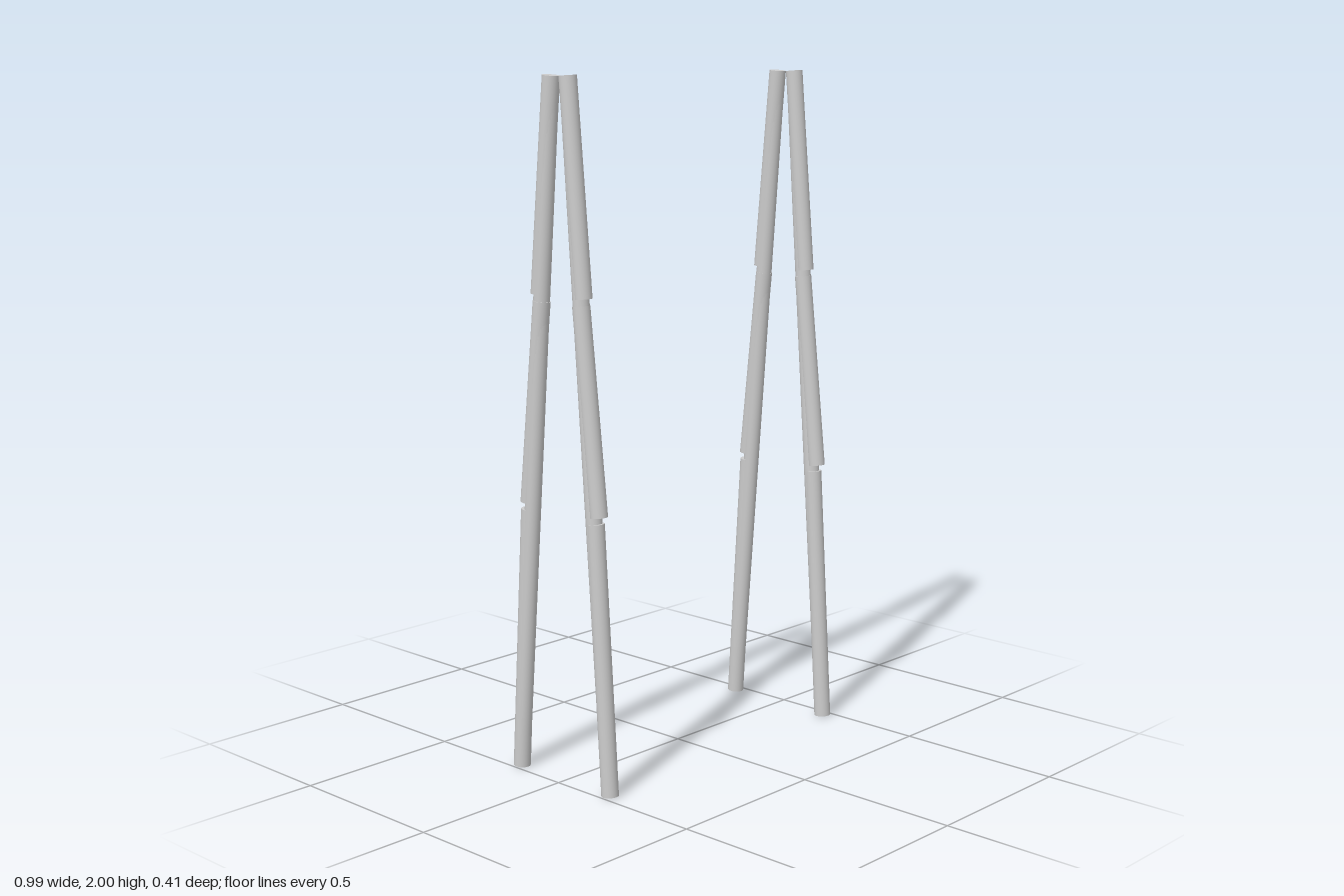
import * as THREE from 'three';

const material = new THREE.MeshStandardMaterial({ color: 0xcccccc });

// Solid rod between two [y, z] points
function rod(name, radius, [y0, z0], [y1, z1]) {
  const a = new THREE.Vector3(0, y0, z0);
  const b = new THREE.Vector3(0, y1, z1);
  const dir = b.clone().sub(a);
  const mesh = new THREE.Mesh(new THREE.CylinderGeometry(radius, radius, dir.length(), 24), material);
  mesh.name = name;
  mesh.position.copy(a).add(b).multiplyScalar(0.5);
  mesh.quaternion.setFromUnitVectors(new THREE.Vector3(0, 1, 0), dir.normalize());
  return mesh;
}

// Straight core with three slightly tilted outer sections, leaving two narrow gaps
function pole(name, { core, lower, middle, upper }) {
  const group = new THREE.Group();
  group.name = name;
  group.add(
    rod('core', 0.0235, [0.003, core[0]], [1.997, core[1]]),
    rod('lowerSection', 0.025, [0.002, lower[0]], [0.78, lower[1]]),
    rod('middleSection', 0.025, [0.8, middle[0]], [1.38, middle[1]]),
    rod('upperSection', 0.025, [1.4, upper[0]], [1.998, upper[1]])
  );
  return group;
}

export function createModel() {
  const model = new THREE.Group();
  model.name = 'leaningPoles';

  // Depth of each piece at its bottom and top end
  const front = { core: [0.181, 0.038], lower: [0.181, 0.132], middle: [0.145, 0.082], upper: [0.091, 0.038] };
  const back = { core: [-0.183, -0.027], lower: [-0.183, -0.135], middle: [-0.137, -0.075], upper: [-0.083, -0.027] };

  // One leaning pair on each side
  for (const [side, x] of [['left', 0.472], ['right', -0.472]]) {
    const pair = new THREE.Group();
    pair.name = side + 'Pair';
    pair.position.x = x;
    pair.add(pole('frontPole', front), pole('backPole', back));
    model.add(pair);
  }
  return model;
}
